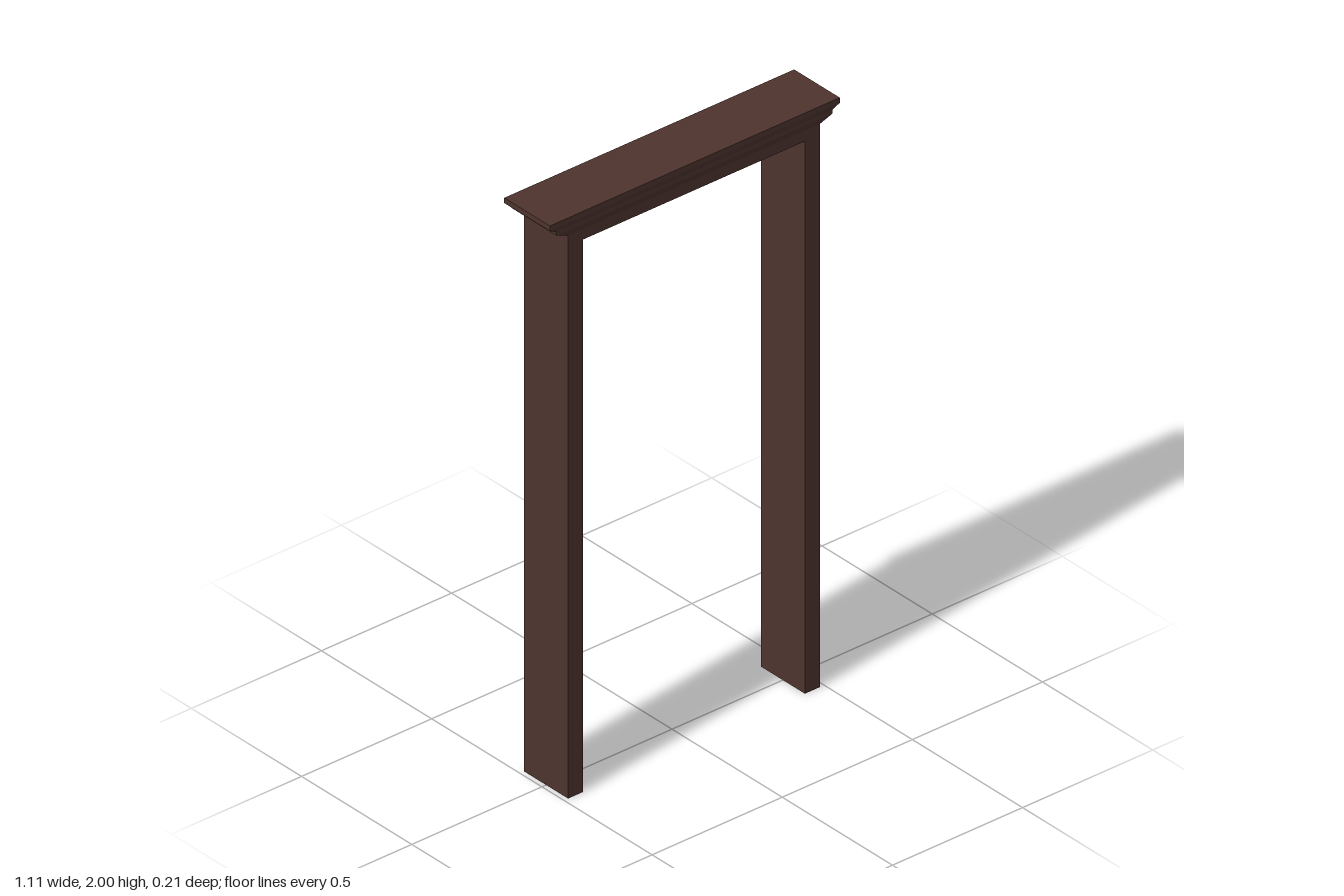
import * as THREE from 'three';

const wood = new THREE.MeshStandardMaterial({ color: 0x4e342e, flatShading: true });

// Box between two heights, with its own half width and half depth at each end
function tier(name, y0, [x0, z0], y1, [x1, z1]) {
  const geo = new THREE.BoxGeometry(2, 1, 2);
  const p = geo.attributes.position;
  for (let i = 0; i < p.count; i++) {
    const top = p.getY(i) > 0;
    p.setXYZ(i, p.getX(i) * (top ? x1 : x0), top ? y1 : y0, p.getZ(i) * (top ? z1 : z0));
  }
  geo.computeVertexNormals();
  const mesh = new THREE.Mesh(geo, wood);
  mesh.name = name;
  return mesh;
}

export function createModel() {
  const model = new THREE.Group();
  model.name = 'doorFrame';

  // Side jambs
  for (const [name, side] of [['leftJamb', 1], ['rightJamb', -1]]) {
    const jamb = tier(name, 0, [0.029, 0.1], 1.9, [0.029, 0.1]);
    jamb.position.x = side * 0.455;
    model.add(jamb);
  }

  // Head beam across the jambs
  model.add(tier('lintel', 1.9, [0.484, 0.1], 1.937, [0.484, 0.1]));

  // Stepped cornice, flaring outwards: [height, half width, half depth]
  const profile = [
    [1.937, 0.484, 0.1],
    [1.955, 0.53, 0.102],
    [1.968, 0.53, 0.102],
    [1.982, 0.557, 0.1035],
    [2.0, 0.557, 0.1035],
  ];
  const cornice = new THREE.Group();
  cornice.name = 'cornice';
  const names = ['lowerFlare', 'lowerBand', 'upperFlare', 'capBand'];
  names.forEach((name, i) => {
    const [y0, ...size0] = profile[i];
    const [y1, ...size1] = profile[i + 1];
    cornice.add(tier(name, y0, size0, y1, size1));
  });
  model.add(cornice);

  return model;
}
